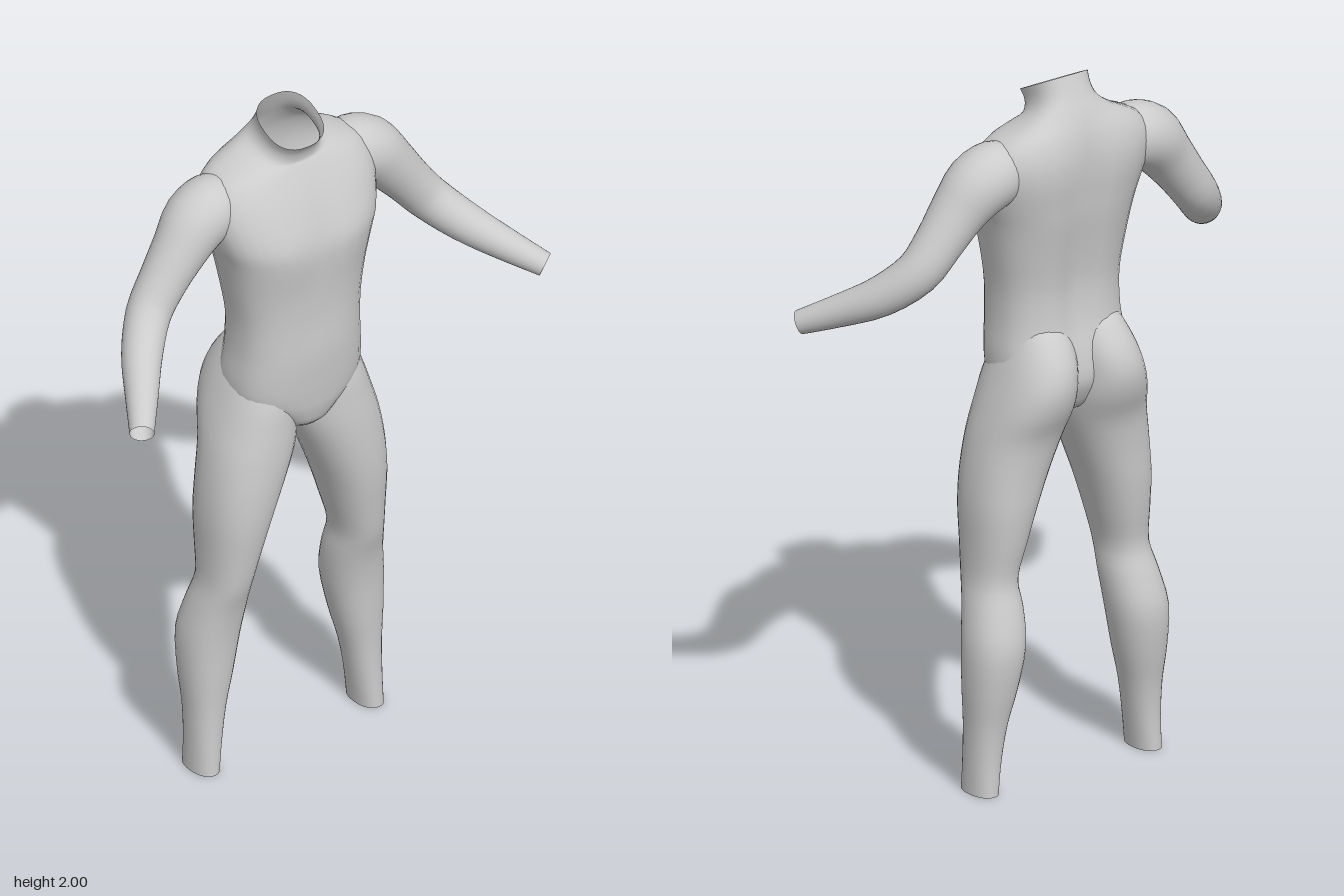
import * as THREE from 'three';

const SEG = 32;
const material = new THREE.MeshStandardMaterial({ color: 0xcccccc, side: THREE.DoubleSide });

// Smoothly resample a table of cross-section rows (Catmull-Rom on every column)
function resample(rows, steps) {
  const out = [];
  const at = (i) => rows[Math.min(Math.max(i, 0), rows.length - 1)];
  for (let i = 0; i < rows.length - 1; i++) {
    for (let s = 0; s < steps; s++) {
      const t = s / steps;
      out.push(rows[i].map((b, k) => {
        const a = at(i - 1)[k], c = at(i + 1)[k], d = at(i + 2)[k];
        return b + 0.5 * t * (c - a + t * (2 * a - 5 * b + 4 * c - d + t * (3 * (b - c) + d - a)));
      }));
    }
  }
  out.push(rows[rows.length - 1]);
  return out;
}

// Skin a list of closed rings; side -1 mirrors the result across x
function loft(name, rings, side = 1) {
  const pos = [], index = [];
  for (const ring of rings) {
    const points = side < 0 ? [...ring].reverse() : ring;
    for (const p of points) pos.push(p.x * side, p.y, p.z);
  }
  for (let r = 0; r < rings.length - 1; r++) {
    for (let i = 0; i < SEG; i++) {
      const a = r * SEG + i, b = r * SEG + (i + 1) % SEG;
      index.push(a, a + SEG, b, b, a + SEG, b + SEG);
    }
  }
  const g = new THREE.BufferGeometry();
  g.setAttribute('position', new THREE.Float32BufferAttribute(pos, 3));
  g.setIndex(index);
  g.computeVertexNormals();
  const mesh = new THREE.Mesh(g, material);
  mesh.name = name;
  return mesh;
}

// One ring of points: f receives rounded-square cosine and sine
function ring(power, f) {
  const soft = (v) => Math.sign(v) * Math.abs(v) ** power;
  return Array.from({ length: SEG }, (_, i) => {
    const t = (i / SEG) * Math.PI * 2;
    return f(soft(Math.cos(t)), soft(Math.sin(t)));
  });
}

// Torso: y, half width, back z, front z, tilt, chest cleft, spine groove
const TORSO = [
  [1.03, 0.0, -0.06, -0.04, 0, 0, 0],
  [1.05, 0.06, -0.13, 0.055, 0, 0, 0],
  [1.10, 0.13, -0.165, 0.08, 0, 0, 0],
  [1.15, 0.19, -0.18, 0.088, 0, 0, 0],
  [1.22, 0.198, -0.178, 0.095, 0, 0, 0.01],
  [1.30, 0.19, -0.165, 0.10, 0, 0, 0.02],
  [1.40, 0.19, -0.16, 0.10, 0, 0.004, 0.025],
  [1.50, 0.205, -0.172, 0.105, 0, 0.006, 0.025],
  [1.60, 0.225, -0.19, 0.119, 0, 0.015, 0.025],
  [1.66, 0.245, -0.198, 0.116, 0, 0.02, 0.025],
  [1.73, 0.262, -0.206, 0.088, 0, 0.012, 0.025],
  [1.79, 0.26, -0.204, 0.058, 0, 0.005, 0.02],
  [1.84, 0.225, -0.19, 0.032, -0.05, 0, 0.01],
  [1.875, 0.15, -0.168, 0.02, -0.2, 0, 0],
  [1.90, 0.10, -0.15, 0.015, -0.4, 0, 0],
  [1.93, 0.084, -0.135, 0.022, -0.45, 0, 0],
  [1.96, 0.086, -0.12, 0.04, -0.5, 0, 0],
];

// Leg: y, inner x, outer x, back z, front z (the top forms the buttock)
const LEG = [
  [0.005, 0.235, 0.31, -0.135, -0.01],
  [0.10, 0.222, 0.31, -0.133, -0.014],
  [0.20, 0.205, 0.312, -0.142, -0.014],
  [0.30, 0.18, 0.319, -0.162, -0.008],
  [0.42, 0.157, 0.32, -0.175, 0.0],
  [0.52, 0.15, 0.302, -0.152, 0.018],
  [0.60, 0.153, 0.284, -0.13, 0.043],
  [0.70, 0.127, 0.283, -0.145, 0.06],
  [0.80, 0.095, 0.285, -0.158, 0.074],
  [0.90, 0.055, 0.278, -0.165, 0.08],
  [1.00, 0.016, 0.262, -0.18, 0.08],
  [1.08, 0.003, 0.241, -0.214, 0.076],
  [1.15, 0.003, 0.218, -0.227, 0.07],
  [1.22, 0.004, 0.192, -0.21, 0.05],
  [1.29, 0.018, 0.16, -0.163, 0.02],
  [1.33, 0.05, 0.13, -0.11, -0.02],
];

// Arm: centre x, y, z and radius, from inside the shoulder to the wrist
const ARM = [
  [0.17, 1.77, -0.085, 0.06],
  [0.22, 1.765, -0.082, 0.087],
  [0.285, 1.738, -0.078, 0.09],
  [0.345, 1.675, -0.07, 0.076],
  [0.405, 1.60, -0.065, 0.066],
  [0.465, 1.525, -0.05, 0.061],
  [0.535, 1.455, 0.015, 0.055],
  [0.60, 1.405, 0.10, 0.045],
  [0.67, 1.357, 0.193, 0.033],
];

function torsoRings() {
  return resample(TORSO, 3).map(([y, rx, back, front, tilt, cleft, groove]) => {
    const zc = (back + front) / 2, rz = (front - back) / 2;
    return ring(0.8, (c, s) => {
      const x = c * rx;
      let z = zc + s * rz;
      if (s > 0) z -= s * cleft * Math.exp(-((x / 0.05) ** 2));
      else z -= s * groove * Math.exp(-((x / 0.04) ** 2));
      return new THREE.Vector3(x, y + tilt * (z - zc), z);
    });
  });
}

function legRings() {
  return resample(LEG, 3).map(([y, inner, outer, back, front]) =>
    ring(0.9, (c, s) => new THREE.Vector3(
      (inner + outer) / 2 + c * (outer - inner) / 2, y,
      (back + front) / 2 + s * (front - back) / 2)));
}

function armRings() {
  const rows = resample(ARM, 3);
  const centre = (i) => new THREE.Vector3(...rows[Math.min(Math.max(i, 0), rows.length - 1)].slice(0, 3));
  return rows.map((row, i) => {
    const along = centre(i + 1).sub(centre(i - 1)).normalize();
    const u = new THREE.Vector3(0, 0, 1).addScaledVector(along, -along.z).normalize();
    const v = u.clone().cross(along);
    return ring(1, (c, s) => centre(i).addScaledVector(u, c * row[3]).addScaledVector(v, s * row[3]));
  });
}

export function createModel() {
  const body = new THREE.Group();
  body.name = 'body';
  body.add(loft('torso', torsoRings()));
  for (const [label, side] of [['left', 1], ['right', -1]]) {
    body.add(loft(label + 'Leg', legRings(), side));
    body.add(loft(label + 'Arm', armRings(), side));
  }
  return body;
}
